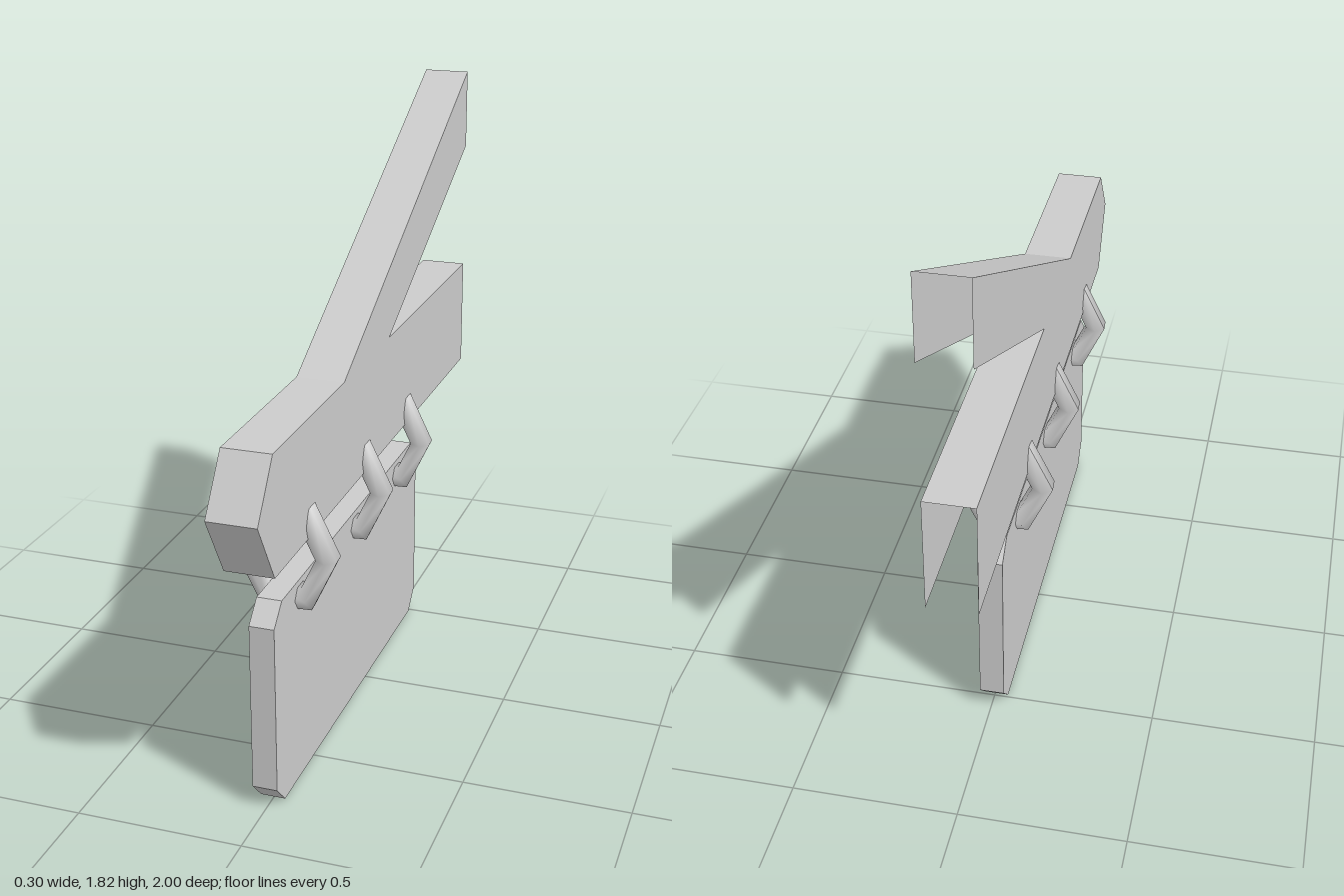
import * as THREE from 'three';
import { mergeGeometries } from 'three/addons/utils/BufferGeometryUtils.js';

const material = new THREE.MeshStandardMaterial({ color: 0xcccccc, side: THREE.DoubleSide });

// Two flat sides cut from a [z, y] outline, joined by edge walls.
// openEdges lists the outline edges (by first corner) left without a wall.
function createShell(name, outline, xMin, xMax, openEdges) {
  const shape = new THREE.Shape(outline.map(([z, y]) => new THREE.Vector2(z, y)));
  const right = new THREE.ShapeGeometry(shape).rotateY(-Math.PI / 2).translate(xMin, 0, 0);
  const left = new THREE.ShapeGeometry(
    new THREE.Shape(outline.map(([z, y]) => new THREE.Vector2(-z, y)))
  ).rotateY(Math.PI / 2).translate(xMax, 0, 0);

  const corners = [];
  outline.forEach(([z0, y0], i) => {
    if (openEdges.includes(i)) return;
    const [z1, y1] = outline[(i + 1) % outline.length];
    corners.push(
      xMin, y0, z0, xMax, y0, z0, xMax, y1, z1,
      xMin, y0, z0, xMax, y1, z1, xMin, y1, z1
    );
  });
  const walls = new THREE.BufferGeometry();
  walls.setAttribute('position', new THREE.Float32BufferAttribute(corners, 3));
  walls.computeVertexNormals();

  const parts = [right, left].map((g) => {
    const flat = g.toNonIndexed();
    flat.deleteAttribute('uv');
    return flat;
  });
  const mesh = new THREE.Mesh(mergeGeometries([...parts, walls]), material);
  mesh.name = name;
  return mesh;
}

// Six-sided link with a hexagonal section, stretched upright
function createLinkGeometry() {
  const section = [];
  for (let i = 0; i <= 6; i++) {
    const a = -Math.PI / 6 + (i * Math.PI) / 3;
    section.push(new THREE.Vector2(0.1165 + 0.036 * Math.cos(a), 0.046 * Math.sin(a)));
  }
  return new THREE.LatheGeometry(section, 6, Math.PI / 2)
    .rotateX(Math.PI / 2)
    .scale(1, 1.23, 1);
}

export function createModel() {
  const model = new THREE.Group();
  model.name = 'hangingSign';

  // Beam with pointed nose and slanted brace; open underneath and at the wall end
  const bracket = [
    [1, 0.975], [0.885, 0.78], [-1, 0.78], [-1, 1.137], [-0.12, 1.137],
    [-1, 1.56], [-1, 1.815], [0.31, 1.137], [0.885, 1.137],
  ];
  model.add(createShell('bracket', bracket, -0.077, 0.07, [1, 2, 4, 5]));

  // Board with clipped corners, open underneath
  const board = [
    [0.745, 0], [-0.49, 0], [-0.553, 0.065], [-0.553, 0.58],
    [-0.49, 0.64], [0.745, 0.64], [0.807, 0.58], [0.807, 0.065],
  ];
  model.add(createShell('signBoard', board, -0.041, 0.034, [0]));

  // Links joining board and beam, each turned slightly
  const linkGeometry = createLinkGeometry();
  [0.6, 0.103, -0.327].forEach((z, i) => {
    const link = new THREE.Mesh(linkGeometry, material);
    link.name = `hangingLink${i + 1}`;
    link.position.set(0, 0.712, z);
    link.rotation.y = 0.08;
    model.add(link);
  });

  return model;
}
